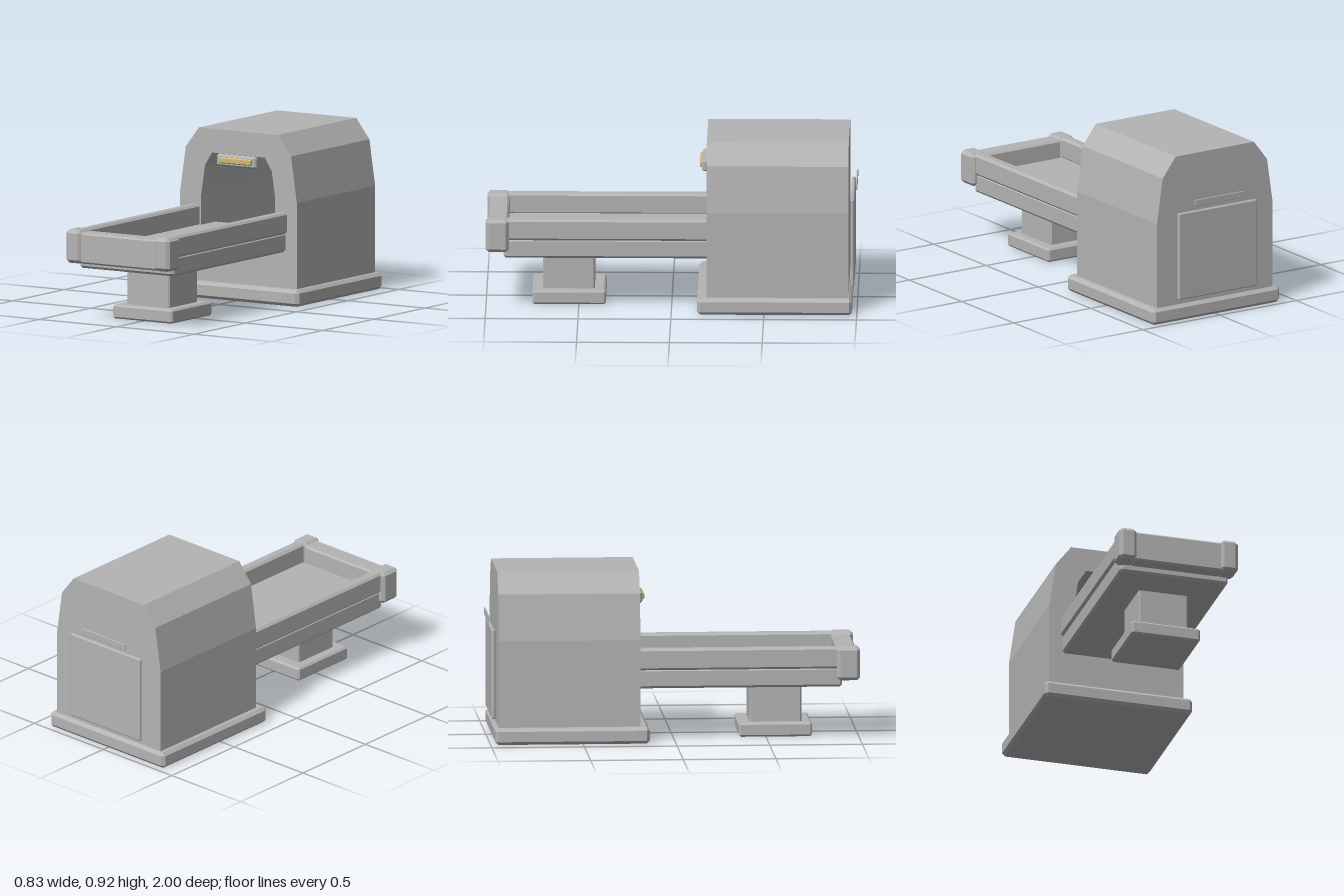
import * as THREE from 'three';
import { ConvexGeometry } from 'three/addons/geometries/ConvexGeometry.js';

export function createModel() {
  const model = new THREE.Group();
  model.name = 'scannerWithTable';

  const grey = new THREE.MeshStandardMaterial({ color: 0xb4b4b4 });
  grey.name = 'grey casing';
  const amber = new THREE.MeshStandardMaterial({ color: 0xcfb974 });
  amber.name = 'amber lamp';

  function add(name, geometry, material = grey) {
    const mesh = new THREE.Mesh(geometry, material);
    mesh.name = name;
    model.add(mesh);
    return mesh;
  }

  // Box between two corners with every edge chamfered by b
  function chamferBox(name, [x0, x1], [y0, y1], [z0, z1], b, material) {
    const h = [(x1 - x0) / 2, (y1 - y0) / 2, (z1 - z0) / 2];
    const points = [];
    for (const sx of [-1, 1]) for (const sy of [-1, 1]) for (const sz of [-1, 1]) {
      for (let axis = 0; axis < 3; axis++) {
        const p = h.map((v, i) => (i === axis ? v : v - b));
        points.push(new THREE.Vector3(p[0] * sx, p[1] * sy, p[2] * sz));
      }
    }
    const mesh = add(name, new ConvexGeometry(points), material);
    mesh.position.set((x0 + x1) / 2, (y0 + y1) / 2, (z0 + z1) / 2);
    return mesh;
  }

  // Symmetric outline from its right half, listed bottom to top
  function mirrored(half) {
    const left = half.map(([x, y]) => [-x, y]).reverse();
    return [...half, ...left].map(([x, y]) => new THREE.Vector2(x, y));
  }

  function slice(name, shape, z0, z1) {
    const geometry = new THREE.ExtrudeGeometry(shape, { depth: z1 - z0, bevelEnabled: false });
    add(name, geometry).position.z = z0;
  }

  // Housing: hollow tunnel section closed by a solid rear wall
  const outline = mirrored([[0.377, 0.06], [0.377, 0.56], [0.34, 0.81], [0.255, 0.92]]);
  const opening = mirrored([[0.24, 0.288], [0.24, 0.56], [0.215, 0.72], [0.17, 0.79]]);
  const tunnel = new THREE.Shape(outline);
  tunnel.holes.push(new THREE.Path(opening));
  slice('tunnelHousing', tunnel, -0.91, -0.19);
  slice('rearWall', new THREE.Shape(outline), -0.955, -0.91);
  chamferBox('housingBase', [-0.415, 0.415], [0, 0.09], [-0.975, -0.14], 0.017);

  // Rear service panel and vent strip
  chamferBox('rearPanel', [-0.255, 0.255], [0.12, 0.605], [-0.985, -0.965], 0.006);
  chamferBox('ventStrip', [-0.16, 0.16], [0.635, 0.67], [-1, -0.992], 0.002);

  // Lamp above the tunnel mouth
  chamferBox('lampFrame', [-0.127, 0.127], [0.725, 0.79], [-0.195, -0.163], 0.01);
  chamferBox('lamp', [-0.104, 0.104], [0.743, 0.776], [-0.18, -0.151], 0.005, amber);

  // Table
  chamferBox('tableSlab', [-0.303, 0.303], [0.285, 0.392], [-0.34, 0.905], 0.013);
  chamferBox('frontPanel', [-0.25, 0.25], [0.322, 0.49], [0.88, 0.985], 0.01);
  for (const side of [-1, 1]) {
    const span = (a, b) => (side > 0 ? [a, b] : [-b, -a]);
    const label = side > 0 ? 'left' : 'right';
    chamferBox(label + 'Rail', span(0.25, 0.313), [0.385, 0.502], [-0.215, 0.915], 0.012);
    chamferBox(label + 'Post', span(0.235, 0.334), [0.322, 0.504], [0.875, 1], 0.018);
  }

  // Pedestal
  chamferBox('pedestalColumn', [-0.137, 0.137], [0.06, 0.3], [0.415, 0.695], 0.008);
  chamferBox('pedestalFoot', [-0.192, 0.192], [0, 0.076], [0.355, 0.75], 0.01);

  return model;
}
